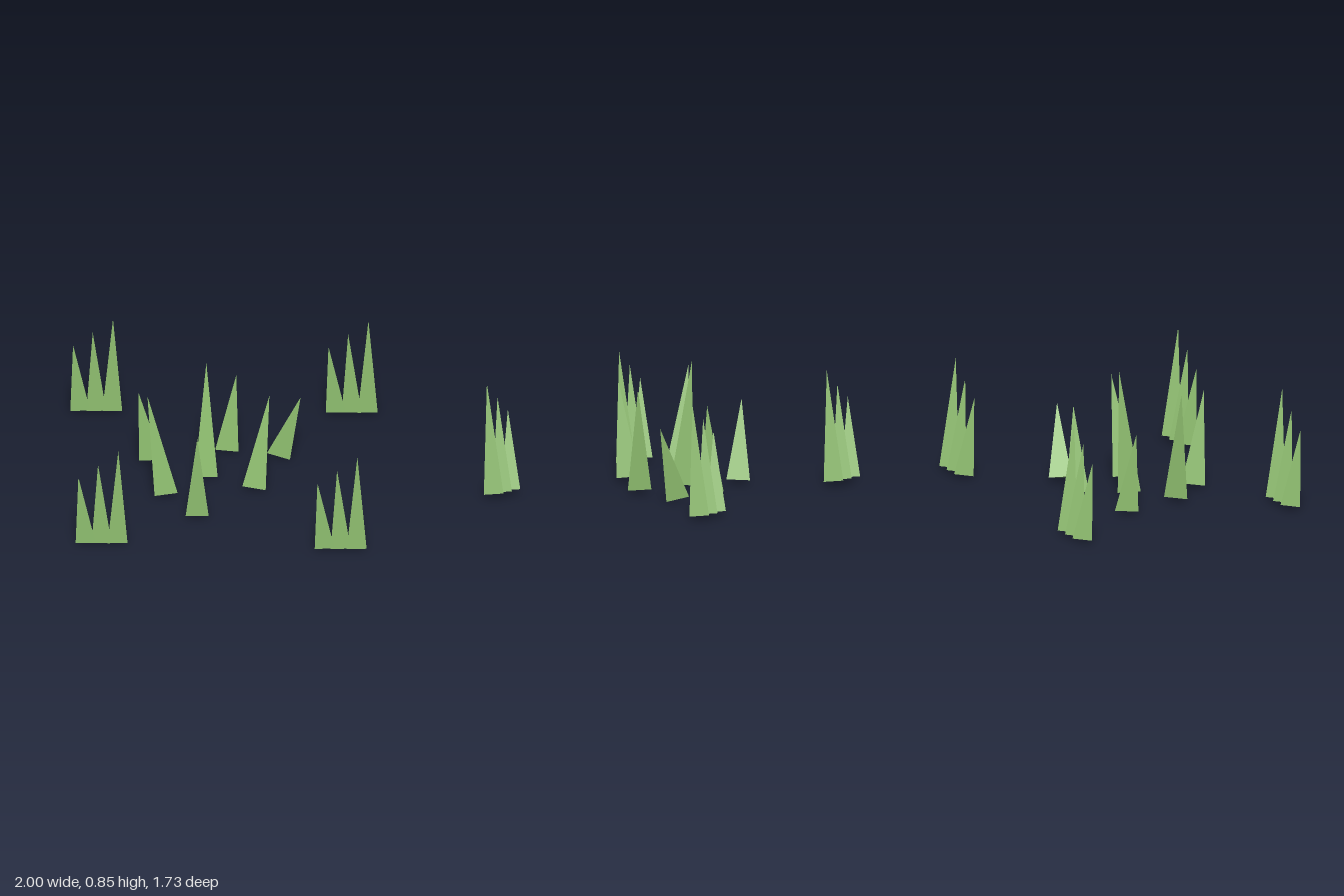
import * as THREE from 'three';

const material = new THREE.MeshStandardMaterial({ color: 0x90c070, flatShading: true });

// A blade is a leaning three-sided spike: front-left, front-right and back corners plus a tip
function blade(name, left, right, back, tip) {
  const faces = [left, right, tip, right, back, tip, back, left, tip, left, back, right];
  const geometry = new THREE.BufferGeometry();
  geometry.setAttribute('position', new THREE.Float32BufferAttribute(faces.flat(), 3));
  geometry.computeVertexNormals();
  const mesh = new THREE.Mesh(geometry, material);
  mesh.name = name;
  return mesh;
}

// Row of three blades rising in height, around its own centre
function tuft(name, x, z) {
  const group = new THREE.Group();
  group.name = name;
  const tips = [[-0.047, 0.545], [-0.023, 0.645], [0.005, 0.752]];
  tips.forEach(([lean, height], i) => {
    const c = (i - 1) * 0.104;
    group.add(blade('tuftBlade' + (i + 1),
      [c - 0.065, 0.022, 0.045], [c + 0.065, 0.026, 0.045],
      [c, 0.035, -0.065], [c + lean, height, 0.059]));
  });
  group.position.set(x, 0, z);
  return group;
}

export function createModel() {
  const model = new THREE.Group();
  model.name = 'grass';

  // Corner tufts
  model.add(
    tuft('backRightTuft', -0.831, -0.8),
    tuft('backLeftTuft', 0.831, -0.8),
    tuft('frontRightTuft', -0.778, 0.755),
    tuft('frontLeftTuft', 0.778, 0.805)
  );

  // Single blades scattered in the middle: left, right, back, tip
  const singles = [
    [[-0.545, 0.02, -0.177], [-0.395, 0.03, -0.175], [-0.47, 0.025, -0.31], [-0.551, 0.545, -0.195]],
    [[-0.44, 0.02, 0.237], [-0.29, 0.045, 0.237], [-0.365, 0.035, 0.105], [-0.487, 0.752, 0.17]],
    [[-0.235, 0.025, 0.475], [-0.085, 0.025, 0.475], [-0.16, 0.04, 0.34], [-0.159, 0.648, 0.505]],
    [[-0.182, 0.035, 0.03], [-0.032, 0.035, 0.03], [-0.107, 0.022, -0.1], [-0.107, 0.847, -0.09]],
    [[-0.052, 0.04, -0.283], [0.1, 0.025, -0.283], [0.023, 0.027, -0.413], [0.085, 0.595, -0.325]],
    [[0.13, 0.047, 0.157], [0.282, 0.02, 0.16], [0.205, 0.03, 0.027], [0.305, 0.697, 0.068]],
    [[0.285, 0.05, -0.232], [0.435, 0, -0.23], [0.365, 0.037, -0.36], [0.505, 0.492, -0.225]]
  ];
  singles.forEach((corners, i) => model.add(blade('singleBlade' + (i + 1), ...corners)));

  return model;
}
